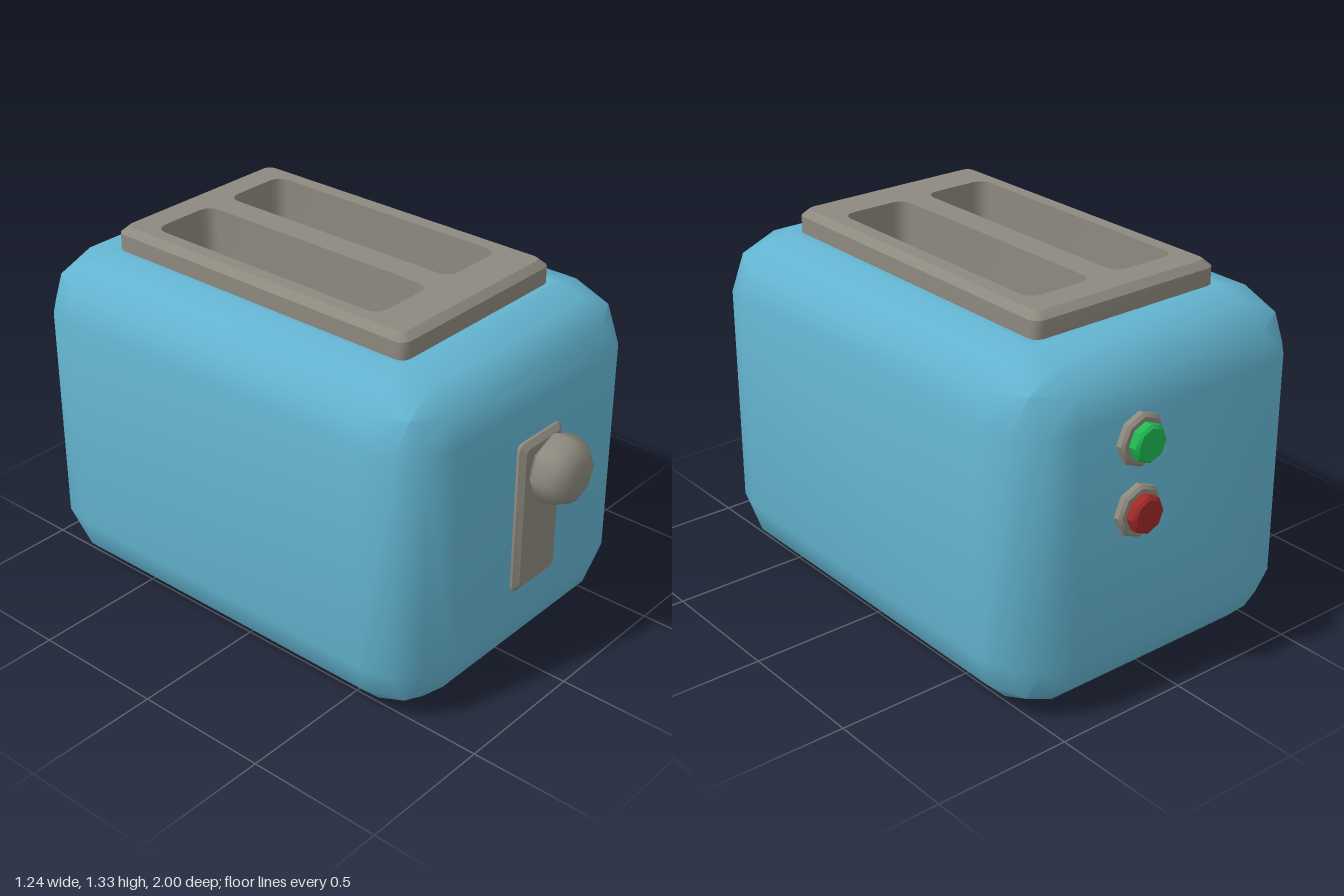
import * as THREE from 'three';
import { toCreasedNormals } from 'three/addons/utils/BufferGeometryUtils.js';
import { ConvexGeometry } from 'three/addons/geometries/ConvexGeometry.js';

const CREASE = 0.6;
const material = (name, color) => {
  const m = new THREE.MeshStandardMaterial({ color });
  m.name = name;
  return m;
};
const blue = material('body blue', 0x63b4d0);
const grey = material('warm grey', 0x8d897f);
const green = material('button green', 0x1fb850);
const red = material('button red', 0xa02828);

function add(parent, name, geometry, mat) {
  const mesh = new THREE.Mesh(geometry, mat);
  mesh.name = name;
  parent.add(mesh);
  return mesh;
}

// Counter-clockwise outline of a rounded rectangle
function roundedRect(cx, cy, w, h, r, n = 3) {
  const pts = [];
  [[1, 1], [-1, 1], [-1, -1], [1, -1]].forEach(([sx, sy], q) => {
    for (let k = 0; k <= n; k++) {
      const a = (q + k / n) * Math.PI / 2;
      pts.push(new THREE.Vector2(
        cx + sx * (w / 2 - r) + r * Math.cos(a),
        cy + sy * (h / 2 - r) + r * Math.sin(a)));
    }
  });
  return pts;
}

// Wall through stacked outlines [points, z]; falling z turns it inward
function loft(rings) {
  const pos = [];
  for (let i = 0; i + 1 < rings.length; i++) {
    const [lo, z0] = rings[i], [hi, z1] = rings[i + 1];
    for (let j = 0; j < lo.length; j++) {
      const k = (j + 1) % lo.length;
      const a = [lo[j].x, lo[j].y, z0], b = [lo[k].x, lo[k].y, z0];
      const c = [hi[k].x, hi[k].y, z1], d = [hi[j].x, hi[j].y, z1];
      pos.push(...a, ...b, ...c, ...a, ...c, ...d);
    }
  }
  const g = new THREE.BufferGeometry();
  g.setAttribute('position', new THREE.Float32BufferAttribute(pos, 3));
  return toCreasedNormals(g, CREASE);
}

function face(outline, holes = []) {
  const shape = new THREE.Shape(outline);
  shape.holes = holes.map((h) => new THREE.Path(h));
  return new THREE.ShapeGeometry(shape);
}

// Plate with a chamfered front rim, standing on z = 0
function chamferedPlate(name, w, h, r, depth, inset, chamfer, holes) {
  const group = new THREE.Group();
  group.name = name;
  const outer = roundedRect(0, 0, w, h, r);
  const inner = roundedRect(0, 0, w - 2 * inset, h - 2 * inset, r * 0.8);
  add(group, name + 'Rim', loft([[outer, 0], [outer, depth - chamfer], [inner, depth]]), grey);
  add(group, name + 'Face', face(inner, holes).translate(0, 0, depth), grey);
  return group;
}

// Rounded box: each corner is an eighth of a coarse sphere, open at the top
function bodyShell(w, h, d, r) {
  const dirs = [[1, 1, 1].map((v) => v / Math.sqrt(3))];
  for (let k = 0; k < 3; k++) {
    const c = Math.cos(k * Math.PI / 6), s = Math.sin(k * Math.PI / 6);
    dirs.push([c, s, 0], [0, c, s], [s, 0, c]);
  }
  const pts = [];
  for (const sx of [-1, 1]) for (const sy of [-1, 1]) for (const sz of [-1, 1]) {
    for (const [x, y, z] of dirs) {
      pts.push(new THREE.Vector3(
        sx * (w / 2 - r + r * x), sy * (h / 2 - r + r * y), sz * (d / 2 - r + r * z)));
    }
  }
  const full = toCreasedNormals(new ConvexGeometry(pts), CREASE);
  const p = full.attributes.position, n = full.attributes.normal;
  const pos = [], nor = [];
  for (let i = 0; i < p.count; i += 3) {
    if (Math.min(p.getY(i), p.getY(i + 1), p.getY(i + 2)) > h / 2 - 0.001) continue;
    for (let k = i; k < i + 3; k++) {
      pos.push(p.getX(k), p.getY(k), p.getZ(k));
      nor.push(n.getX(k), n.getY(k), n.getZ(k));
    }
  }
  const g = new THREE.BufferGeometry();
  g.setAttribute('position', new THREE.Float32BufferAttribute(pos, 3));
  g.setAttribute('normal', new THREE.Float32BufferAttribute(nor, 3));
  return g;
}

// Eight-sided turned part along +z, from [radius, z] pairs
function turned(profile) {
  const pts = profile.map(([r, z]) => new THREE.Vector2(r, z));
  return new THREE.LatheGeometry(pts, 8).rotateX(Math.PI / 2);
}

export function createModel() {
  const model = new THREE.Group();
  model.name = 'toaster';
  const W = 1.236, H = 1.24, D = 1.753, R = 0.215, Z = -0.058;

  // Body with an opening under the slot plate
  const body = new THREE.Group();
  body.name = 'body';
  body.position.z = Z;
  add(body, 'bodyShell', bodyShell(W, H, D, R).translate(0, H / 2, 0), blue);
  const top = roundedRect(0, 0, W - 2 * R, D - 2 * R, 0.001, 1);
  const opening = roundedRect(0, 0, 0.72, 1.22, 0.02, 1);
  add(body, 'bodyTop', face(top, [opening]).rotateX(-Math.PI / 2).translate(0, H, 0), blue);
  model.add(body);

  // Slot plate and the two bread slots
  const plateDepth = 0.085, slotFloor = -0.8;
  const slots = [-0.183, 0.177].map((x) => roundedRect(x, 0.022, 0.26, 0.998, 0.045));
  const plate = chamferedPlate('slotPlate', 0.77, 1.284, 0.035, plateDepth, 0.024, 0.024, slots);
  slots.forEach((slot) => {
    add(plate, 'slotWall', loft([[slot, plateDepth], [slot, slotFloor]]), grey);
    add(plate, 'slotFloor', face(slot).translate(0, 0, slotFloor), grey);
  });
  plate.rotation.x = -Math.PI / 2;
  plate.position.set(-0.002, H, Z);
  model.add(plate);

  // Lever track and knob on the front
  const track = chamferedPlate('leverTrack', 0.23, 0.57, 0.022, 0.034, 0.019, 0.016);
  track.position.set(0.023, 0.619, 0.81);
  model.add(track);
  const knob = new THREE.Group();
  knob.name = 'leverKnob';
  knob.position.set(0.021, 0.803, 0);
  add(knob, 'knobStem', turned([[0.066, 0.83], [0.066, 0.88]]), grey);
  add(knob, 'knobHead', turned([[0, 0.868], [0.108, 0.868], [0.123, 0.882], [0.123, 0.922],
    [0.113, 0.957], [0.09, 0.982], [0.05, 1], [0, 1]]), grey);
  model.add(knob);

  // Two push buttons on the back
  [['greenButton', 0.94, green], ['redButton', 0.693, red]].forEach(([name, y, mat]) => {
    const button = new THREE.Group();
    button.name = name;
    button.position.set(0.164, y, -0.93);
    button.rotation.y = Math.PI;
    const collar = turned([[0.092, -0.01], [0.092, 0.024], [0.082, 0.034], [0, 0.034]]);
    const cap = turned([[0.066, 0.03], [0.066, 0.06], [0.056, 0.07], [0, 0.07]]);
    add(button, name + 'Collar', toCreasedNormals(collar, CREASE), grey);
    add(button, name + 'Cap', toCreasedNormals(cap, CREASE), mat);
    model.add(button);
  });

  return model;
}
